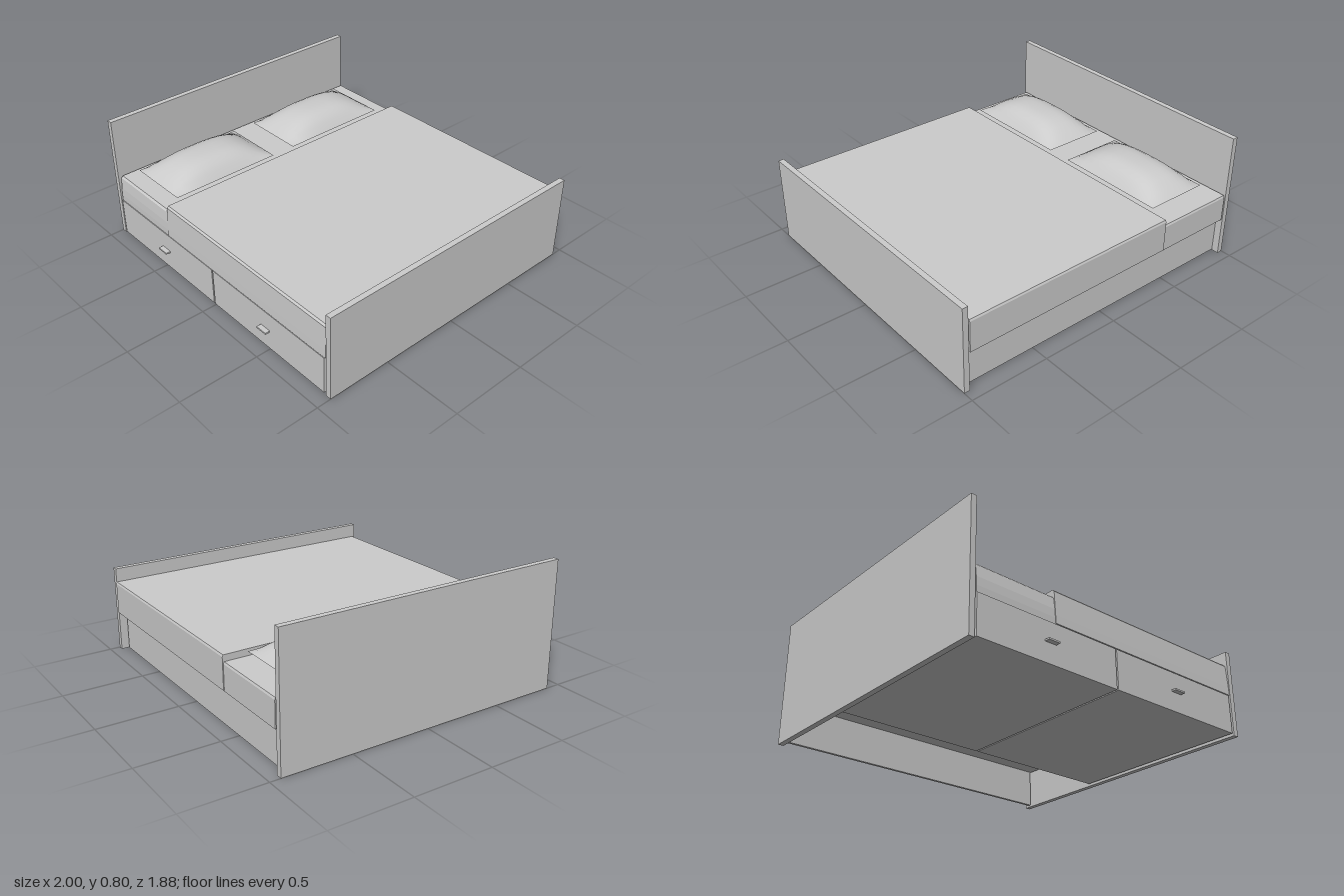
import * as THREE from 'three';

const mat = new THREE.MeshStandardMaterial({ color: 0xcccccc });

export function createModel() {
  const bed = new THREE.Group();
  bed.name = 'storageBed';

  const add = (name, geometry, parent = bed) => {
    const mesh = new THREE.Mesh(geometry, mat);
    mesh.name = name;
    parent.add(mesh);
    return mesh;
  };
  // Box given by its limits on each axis
  const box = (name, [x0, x1], [y0, y1], [z0, z1], parent) =>
    add(name, new THREE.BoxGeometry(x1 - x0, y1 - y0, z1 - z0), parent)
      .position.set((x0 + x1) / 2, (y0 + y1) / 2, (z0 + z1) / 2);

  // End boards
  const boardZ = [-0.935, 0.91];
  box('headboard', [-1, -0.965], [0, 0.8], boardZ);
  box('footboard', [0.965, 1], [0, 0.545], boardZ);

  // Base: platform, recessed back panel, cleats that join it to the end boards
  box('platform', [-0.955, 0.955], [0.25, 0.29], [-0.935, 0.905]);
  box('backPanel', [-0.965, 0.95], [0.005, 0.25], [-0.89, -0.87]);
  box('headCleat', [-0.965, -0.955], [0.25, 0.29], [-0.52, 0.47]);
  box('footCleat', [0.95, 0.965], [0.225, 0.255], [-0.52, 0.47]);

  // Bedding cross-section (z, y) swept along x, front side slightly sloped
  const bedding = (name, x0, x1, bottom, top, grow) => {
    const profile = [
      [-0.935 - grow, bottom], [0.905 + grow, bottom], [0.903 + grow, bottom + 0.05],
      [0.895 + grow, top - 0.012], [0.885 + grow, top], [-0.93 - grow, top], [-0.935 - grow, top - 0.012],
    ].map(([z, y]) => new THREE.Vector2(-z, y));
    const geometry = new THREE.ExtrudeGeometry(new THREE.Shape(profile), { depth: x1 - x0, bevelEnabled: false });
    geometry.rotateY(Math.PI / 2);
    add(name, geometry).position.x = x0;
  };
  bedding('mattress', -0.955, 0.955, 0.29, 0.42, 0);
  bedding('duvet', -0.44, 0.96, 0.255, 0.46, 0.005);

  // Two drawers that open at the front
  const drawer = (name, x0, x1, handleX) => {
    const group = new THREE.Group();
    group.name = name;
    bed.add(group);
    const t = 0.015, back = -0.28, front = 0.89;
    box('drawerFront', [x0, x1], [0.01, 0.25], [front, 0.91], group);
    box('drawerBottom', [x0, x1], [0.01, 0.02], [back, front], group);
    box('drawerBack', [x0, x1], [0.02, 0.24], [back, back + t], group);
    box('drawerSide', [x0, x0 + t], [0.02, 0.24], [back + t, front], group);
    box('drawerSide', [x1 - t, x1], [0.02, 0.24], [back + t, front], group);
    box('handle', [handleX - 0.038, handleX + 0.038], [0.128, 0.138], [0.91, 0.94], group);
  };
  drawer('rightDrawer', -0.955, -0.01, -0.48);
  drawer('leftDrawer', 0, 0.95, 0.47);

  // Pillow: two puffed sheets that meet at a flat rectangular seam
  const halfX = 0.205, halfZ = 0.3625;
  const sheet = (facing, height) => {
    const geometry = new THREE.PlaneGeometry(2 * halfX, 2 * halfZ, 12, 12);
    geometry.rotateX(-facing * Math.PI / 2);
    const p = geometry.attributes.position;
    for (let i = 0; i < p.count; i++) {
      p.setY(i, height(Math.abs(p.getX(i)) / halfX, Math.abs(p.getZ(i)) / halfZ));
    }
    geometry.computeVertexNormals();
    return geometry;
  };
  for (const side of [-1, 1]) {
    const pillow = new THREE.Group();
    pillow.name = side < 0 ? 'backPillow' : 'frontPillow';
    pillow.position.set(-0.677, 0.46, side * 0.4425);
    bed.add(pillow);
    add('pillowTop', sheet(1, (u, v) => 0.105 * (1 - u ** 3) * (1 - v ** 3)), pillow);
    add('pillowUnderside', sheet(-1, (u, v) => -Math.min(0.045, 0.11 * (1 - u) * Math.min(1, 2.5 * (1 - v)))), pillow);
  }

  return bed;
}
